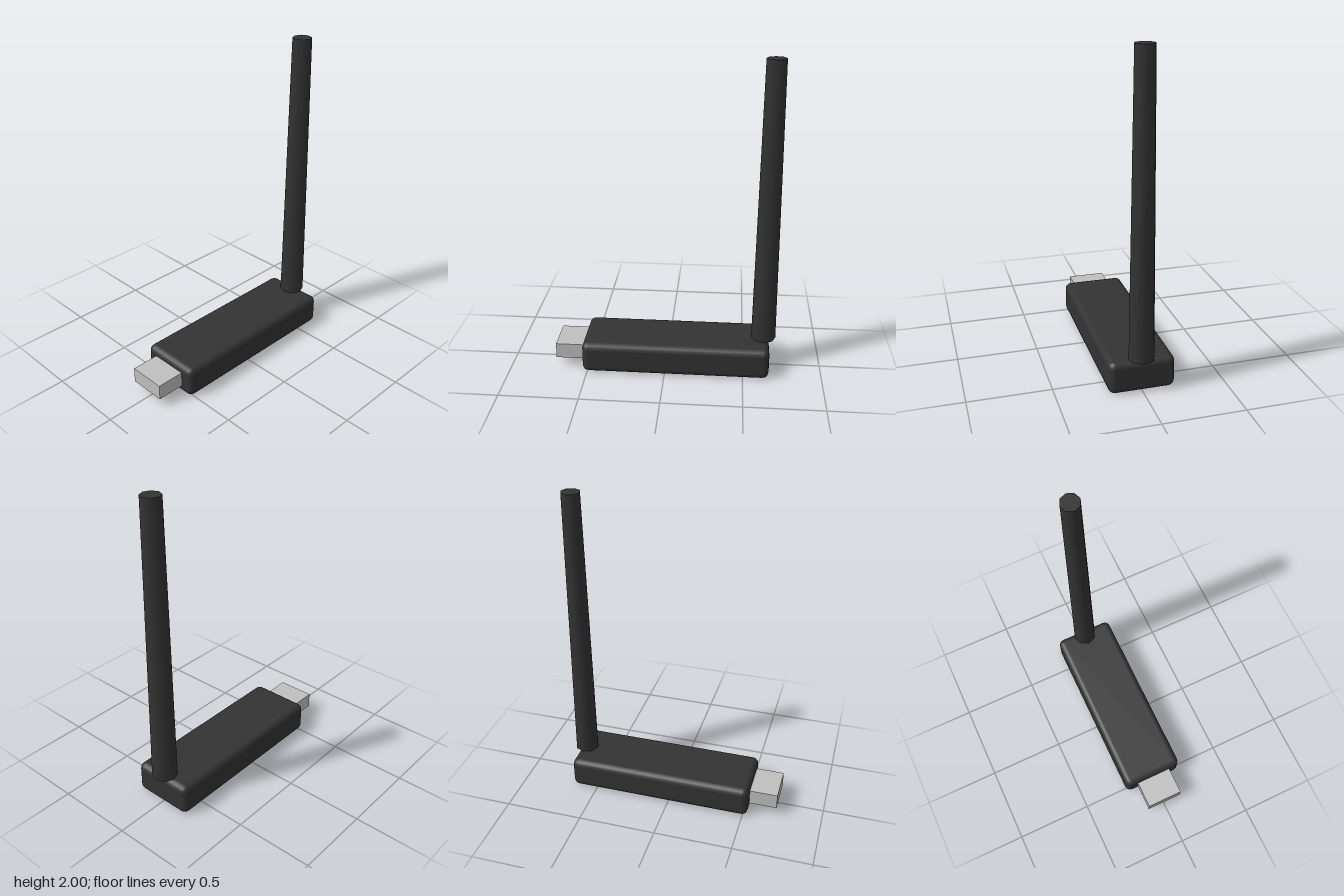
import * as THREE from 'three';
import { RoundedBoxGeometry } from 'three/addons/geometries/RoundedBoxGeometry.js';

export function createModel() {
  const model = new THREE.Group();
  model.name = 'wirelessAdapter';

  const blackPlastic = new THREE.MeshStandardMaterial({ color: 0x333333 });
  blackPlastic.name = 'black plastic';
  const plugMetal = new THREE.MeshStandardMaterial({ color: 0xc0c0c0 });
  plugMetal.name = 'plug metal';

  const add = (name, geometry, material, x, y, z) => {
    const mesh = new THREE.Mesh(geometry, material);
    mesh.name = name;
    mesh.position.set(x, y, z);
    model.add(mesh);
  };

  // Softly bevelled stick body
  add('body', new RoundedBoxGeometry(1.195, 0.2, 0.4, 2, 0.04), blackPlastic, 0.067, 0.1, 0);

  // Plain block plug on the -x end
  add('plug', new THREE.BoxGeometry(0.19, 0.1, 0.24), plugMetal, -0.615, 0.105, 0);

  // Tapered eight-sided antenna standing at the +x end, overhanging the body
  add('antenna', new THREE.CylinderGeometry(0.06, 0.078, 1.8, 8), blackPlastic, 0.628, 1.1, 0);

  return model;
}
